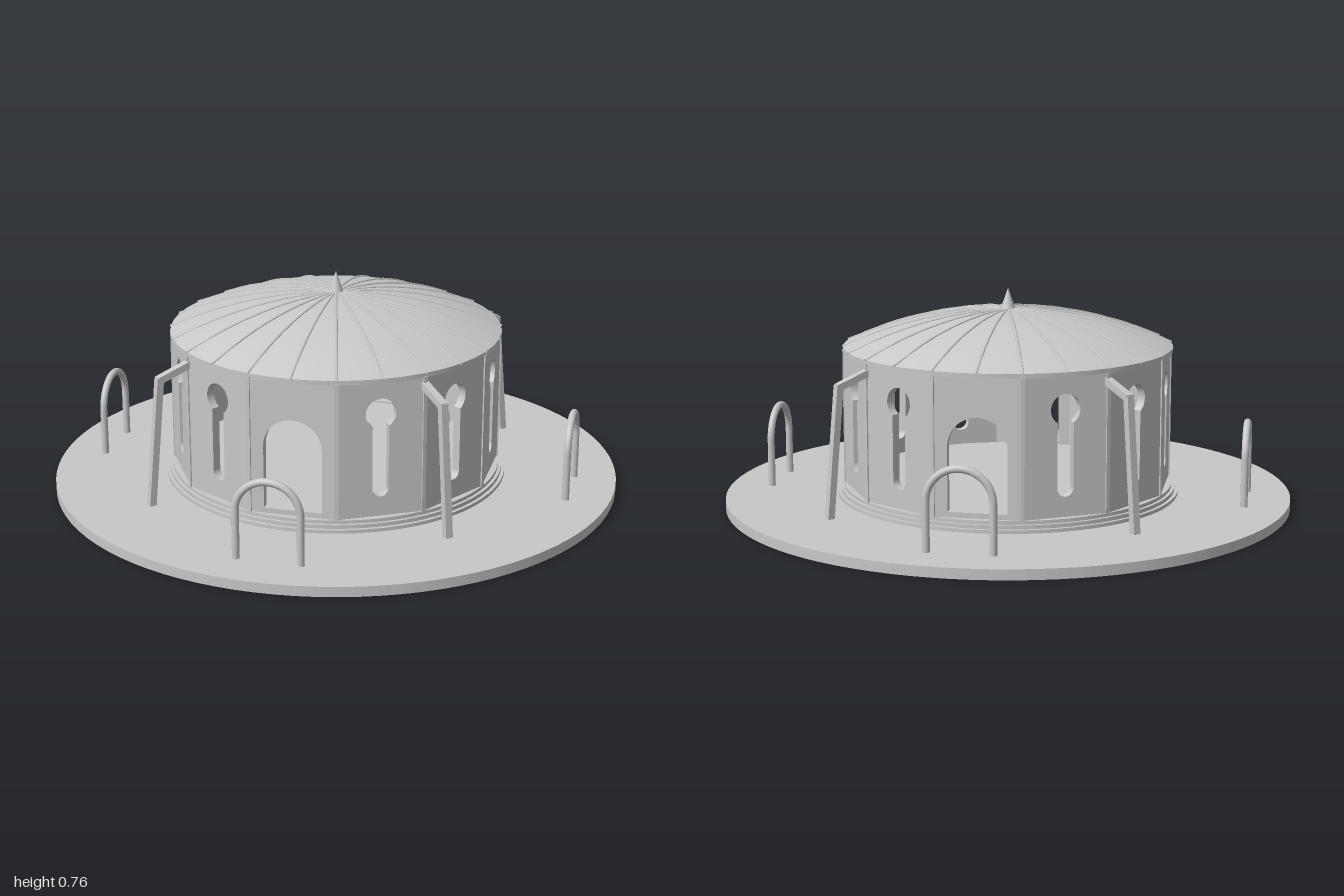
import * as THREE from 'three';

export function createModel() {
  const model = new THREE.Group();
  model.name = 'roundPavilion';
  const grey = new THREE.MeshStandardMaterial({ name: 'lightGrey', color: 0xc8c8c8, side: THREE.DoubleSide });

  function add(geometry, name, parent = model) {
    const mesh = new THREE.Mesh(geometry, grey);
    mesh.name = name;
    parent.add(mesh);
    return mesh;
  }
  function disc(radius, y0, y1, name, sides = 96) {
    add(new THREE.CylinderGeometry(radius, radius, y1 - y0, sides), name).position.y = (y0 + y1) / 2;
  }

  // Ground plate and stepped plinth
  disc(1, 0, 0.035, 'groundPlate');
  disc(0.605, 0.035, 0.047, 'lowerStep');
  disc(0.593, 0.047, 0.06, 'middleStep');
  disc(0.582, 0.06, 0.072, 'upperStep');
  disc(0.53, 0.072, 0.085, 'innerFloor', 48);

  // Twelve wall panels: doorways front and back, keyhole windows elsewhere
  const sides = 12, apothem = 0.56, thick = 0.03;
  const half = apothem * Math.tan(Math.PI / sides);
  const corner = apothem / Math.cos(Math.PI / sides);

  function doorHole() {
    const p = new THREE.Path();
    p.moveTo(-0.1, 0.09);
    p.lineTo(0.1, 0.09);
    p.lineTo(0.1, 0.31);
    p.absarc(0, 0.31, 0.1, 0, Math.PI, false);
    p.lineTo(-0.1, 0.09);
    return p;
  }
  function keyHole() {
    const w = 0.028, r = 0.052, cy = 0.433, a = Math.asin(w / r);
    const p = new THREE.Path();
    p.absarc(0, cy, r, -Math.PI / 2 + a, Math.PI * 1.5 - a, false);
    p.lineTo(-w, 0.168);
    p.absarc(0, 0.168, w, Math.PI, Math.PI * 2, false);
    p.closePath();
    return p;
  }
  function panel(hole) {
    const s = new THREE.Shape();
    s.moveTo(-half, 0.068);
    s.lineTo(half, 0.068);
    s.lineTo(half, 0.55);
    s.lineTo(-half, 0.55);
    s.closePath();
    s.holes.push(hole);
    const g = new THREE.ExtrudeGeometry(s, { depth: thick, bevelEnabled: false, curveSegments: 20 });
    return g.translate(0, 0, apothem - thick);
  }
  const doorPanel = panel(doorHole()), windowPanel = panel(keyHole());
  const post = new THREE.BoxGeometry(0.014, 0.48, 0.014).translate(0, 0.308, corner - 0.004);
  for (let i = 0; i < sides; i++) {
    const isDoor = i % 6 === 0;
    const angle = (i / sides) * Math.PI * 2;
    add(isDoor ? doorPanel : windowPanel, isDoor ? 'doorPanel' : 'windowPanel').rotation.y = angle;
    add(post, 'cornerPost').rotation.y = angle + Math.PI / sides;
  }

  // Shallow domed roof with an eave band
  const roofR = 0.58, rise = 0.125, eaveY = 0.56;
  const sphereR = (roofR * roofR + rise * rise) / (2 * rise);
  const roofY = r => eaveY + rise - sphereR + Math.sqrt(sphereR * sphereR - r * r);
  const profile = [];
  for (let i = 0; i <= 8; i++) profile.push(new THREE.Vector2(roofR * (1 - i / 8), roofY(roofR * (1 - i / 8))));
  add(new THREE.LatheGeometry(profile, 48), 'roof');
  add(new THREE.CylinderGeometry(roofR, roofR, 0.016, 48, 1, true), 'eaveBand').position.y = 0.552;
  const soffit = add(new THREE.RingGeometry(0.52, roofR, 48), 'soffit');
  soffit.rotation.x = Math.PI / 2;
  soffit.position.y = 0.545;

  // Radiating roof ribs
  const ribPath = new THREE.CatmullRomCurve3(
    [0.01, 0.15, 0.29, 0.435, 0.582].map(r => new THREE.Vector3(0, roofY(r), r)));
  const rib = new THREE.TubeGeometry(ribPath, 12, 0.005, 6);
  for (let i = 0; i < 24; i++) add(rib, 'roofRib').rotation.y = (i / 24) * Math.PI * 2;

  // Pointed finial
  add(new THREE.ConeGeometry(0.03, 0.085, 24), 'finial').position.y = 0.7175;

  // Square bar between two points in the x = 0 plane
  function bar(y0, z0, y1, z1) {
    const len = Math.hypot(y1 - y0, z1 - z0);
    return new THREE.BoxGeometry(0.026, len + 0.012, 0.024)
      .rotateX(Math.atan2(z1 - z0, y1 - y0))
      .translate(0, (y0 + y1) / 2, (z0 + z1) / 2);
  }

  // Hoop: two uprights joined by a half ring
  const hoopR = 0.108, springY = 0.2;
  const upright = new THREE.CylinderGeometry(0.0125, 0.0125, springY - 0.03, 14);
  const arch = new THREE.TorusGeometry(hoopR, 0.0125, 14, 32, Math.PI);
  const leg = bar(0.036, 0.728, 0.48, 0.685);
  const arm = bar(0.48, 0.685, 0.522, 0.562);

  // Four hoops on the axes and four braces on the diagonals
  for (let i = 0; i < 4; i++) {
    const hoop = new THREE.Group();
    hoop.name = 'hoop';
    hoop.rotation.y = (i * Math.PI) / 2;
    for (const s of [-1, 1]) add(upright, 'hoopUpright', hoop).position.set(s * hoopR, (springY + 0.03) / 2, 0.845);
    add(arch, 'hoopArch', hoop).position.set(0, springY, 0.845);
    const brace = new THREE.Group();
    brace.name = 'brace';
    brace.rotation.y = ((i + 0.5) * Math.PI) / 2;
    add(leg, 'braceLeg', brace);
    add(arm, 'braceArm', brace);
    model.add(hoop, brace);
  }
  return model;
}
